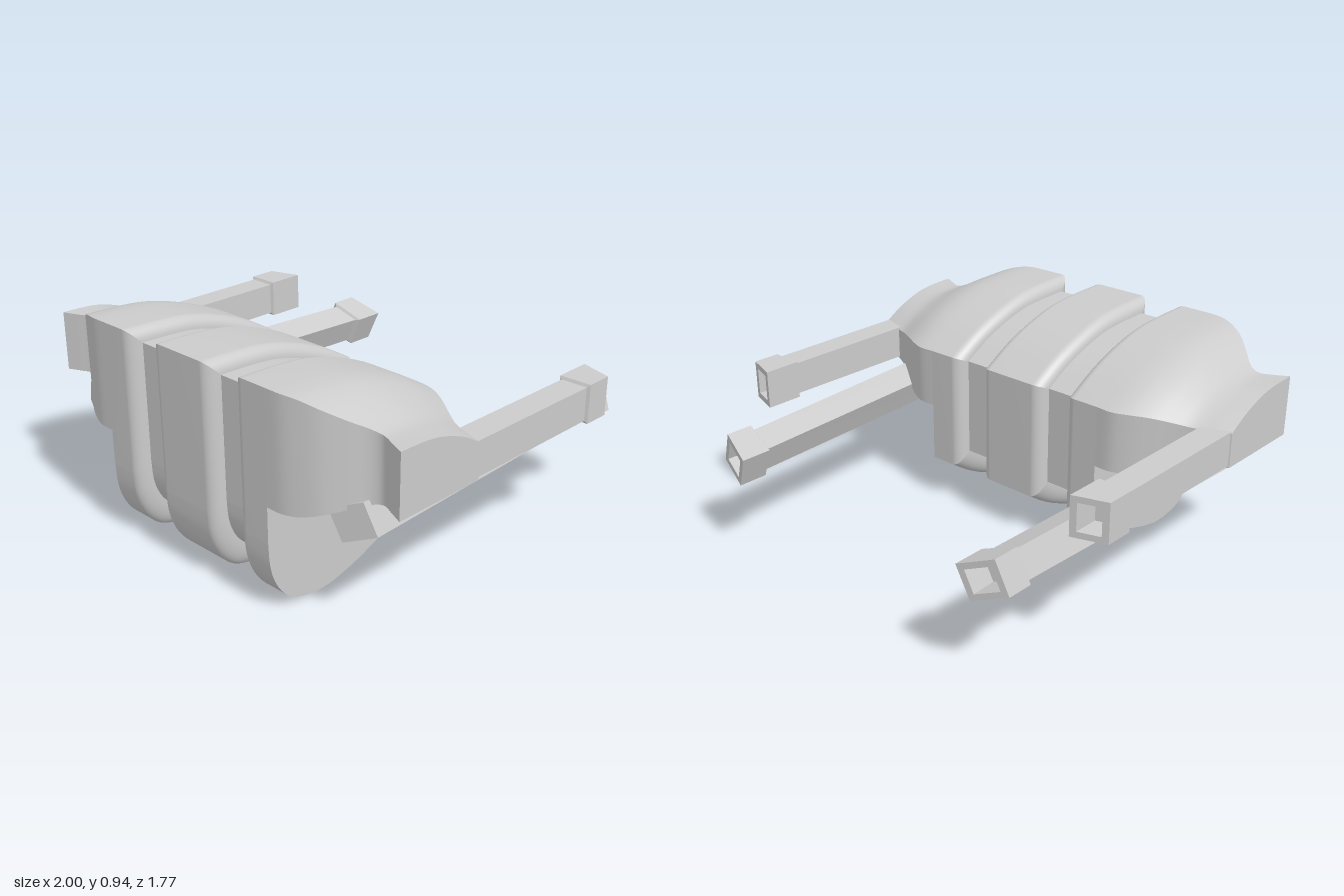
import * as THREE from 'three';

const material = new THREE.MeshStandardMaterial({ color: 0xcccccc });
const V = (x, y, z) => new THREE.Vector3(x, y, z);

// Surface through rows of points; flat gives faceted shading
function strip(rows, flat = false) {
  const n = rows[0].length, index = [];
  for (let i = 0; i < rows.length - 1; i++) {
    for (let j = 0; j < n - 1; j++) {
      const a = i * n + j, b = a + n;
      index.push(a, b, a + 1, b, b + 1, a + 1);
    }
  }
  let geo = new THREE.BufferGeometry().setFromPoints(rows.flat());
  geo.setIndex(index);
  if (flat) geo = geo.toNonIndexed();
  geo.computeVertexNormals();
  return geo;
}

// Copy reflected to the other side, with the winding reversed
function mirror(geo) {
  const m = geo.index ? geo.toNonIndexed() : geo.clone();
  for (const name of ['position', 'normal']) {
    const a = m.attributes[name];
    for (let i = 0; i < a.count; i += 3) {
      const p = [0, 2, 1].map(k => [-a.getX(i + k), a.getY(i + k), a.getZ(i + k)]);
      p.forEach((q, k) => a.setXYZ(i + k, ...q));
    }
  }
  return m;
}

function addMesh(group, name, geo) {
  const mesh = new THREE.Mesh(geo, material);
  mesh.name = name;
  group.add(mesh);
}

function addPair(group, name, geo) {
  addMesh(group, name + 'Left', geo);
  addMesh(group, name + 'Right', mirror(geo));
}

const spline = (pts, n) => new THREE.SplineCurve(pts.map(p => new THREE.Vector2(...p))).getPoints(n);
const centreRow = (ring, c) => ring.map(() => c.clone());

// Side profile of the body as (z, y), split at its sharp corners
const topCurve = spline([[0.885, 0.945], [0.7, 0.94], [0.55, 0.925], [0.4, 0.885], [0.25, 0.825], [0.1, 0.74]], 20);
const backLine = [new THREE.Vector2(0.1, 0.74), new THREE.Vector2(0.1, 0.2)];
const bellyCurve = [
  ...spline([[0.1, 0.2], [0.2, 0.135], [0.3, 0.085], [0.45, 0.03], [0.6, 0], [0.74, 0.02],
    [0.81, 0.07], [0.855, 0.14], [0.878, 0.22], [0.885, 0.32]], 36),
  new THREE.Vector2(0.885, 0.47), new THREE.Vector2(0.885, 0.945)];
const bodyParts = { Top: topCurve, Back: backLine, Belly: bellyCurve };

// Profile at x, drawn inward by e (0 = full rib, 1 = groove)
const bodyRow = (curve, x, e) => curve.map(p => V(
  x,
  p.y + e * THREE.MathUtils.lerp(0.1, -0.06, p.y / 0.945),
  0.4925 + (p.x - 0.4925) * (1 - e * 0.16)));

function addBody(group) {
  const r = 0.05, round = [];
  for (let k = 0; k <= 8; k++) {
    const a = k / 8 * Math.PI / 2;
    round.push([r * Math.sin(a), 1 - Math.cos(a)]);
  }
  const half = round.map(([d, e]) => [0.12 + d, e]);
  const middle = [...half.map(([x, e]) => [-x, e]).reverse(), ...half];
  const outer = [...round.map(([d, e]) => [0.355 - d, e]).reverse(), [0.475, 0]];
  const groove = [[0.17, 1], [0.305, 1]];
  for (const [part, curve] of Object.entries(bodyParts)) {
    const build = s => strip(s.map(([x, e]) => bodyRow(curve, x, e)));
    addMesh(group, 'middleRib' + part, build(middle));
    addPair(group, 'groove' + part, build(groove));
    addPair(group, 'outerRib' + part, build(outer));
  }
  // Flat end of the lower body
  const ring = bodyRow([...topCurve, ...backLine, ...bellyCurve], 0.475, 0);
  addPair(group, 'bodyEnd', strip([ring, centreRow(ring, V(0.475, 0.45, 0.5))]));
}

// Tapering shoulder: x, top, bottom, front z, back z, drop of the top towards the back
function addShoulders(group) {
  const stations = [
    [0.475, 0.945, 0.47, 0.885, 0.1, 0.205], [0.55, 0.943, 0.47, 0.882, 0.1, 0.205],
    [0.62, 0.933, 0.475, 0.86, 0.125, 0.195], [0.69, 0.908, 0.495, 0.825, 0.165, 0.175],
    [0.76, 0.87, 0.52, 0.765, 0.21, 0.15], [0.82, 0.838, 0.542, 0.708, 0.245, 0.13],
    [0.87, 0.822, 0.553, 0.69, 0.265, 0.117], [0.93, 0.82, 0.555, 0.715, 0.285, 0.113],
    [0.99, 0.822, 0.555, 0.742, 0.31, 0.113]];
  const columns = [1, 2, 3, 4, 5].map(k => spline(stations.map(s => [s[0], s[k]]), 32));
  const sections = columns[0].map((p, i) => {
    const [top, bottom, zf, zb, drop] = columns.map(c => c[i].y);
    const roof = topCurve.map(q => V(p.x,
      top - drop * (0.945 - q.y) / 0.205,
      zb + (zf - zb) * (q.x - 0.1) / 0.785));
    const lowBack = V(p.x, bottom, zb), lowFront = V(p.x, bottom, zf);
    return {
      Top: roof, Back: [roof[roof.length - 1], lowBack],
      Underside: [lowBack, lowFront], Front: [lowFront, roof[0]]
    };
  });
  for (const part of ['Top', 'Back', 'Underside', 'Front']) {
    addPair(group, 'shoulder' + part, strip(sections.map(s => s[part])));
  }
  const ring = Object.values(sections[sections.length - 1]).flat();
  addPair(group, 'shoulderEnd', strip([ring, centreRow(ring, V(0.99, 0.65, 0.55))]));
}

// Rectangular ring, rolled by tilt, its plane slanted along x
function ringAt([x, y, z], w, h, tilt, slant) {
  return [[w, h], [-w, h], [-w, -h], [w, -h], [w, h]].map(([u, v]) => {
    const dx = u * Math.cos(tilt) - v * Math.sin(tilt);
    const dy = u * Math.sin(tilt) + v * Math.cos(tilt);
    return V(x + dx, y + dy, z + slant * dx);
  });
}

// Bar with a larger, hollow-ended socket at the back
function addArm(group, name, { start, end, startSize, endSize, tilt, startSlant, capStart, capStartSlant, capSize, capSlant }) {
  const [ex, ey, ez] = end, [cw, ch] = capSize, rim = 0.026;
  const first = ringAt(start, ...startSize, tilt, startSlant);
  const neck = ringAt([ex, ey, capStart], ...endSize, tilt, capStartSlant);
  addPair(group, name + 'Bar', strip([centreRow(first, V(...start)), first, neck], true));
  const floor = ringAt([ex, ey, ez + 0.1], cw - rim - 0.006, ch - rim - 0.006, tilt, capSlant);
  addPair(group, name + 'Socket', strip([
    neck,
    ringAt([ex, ey, capStart - 0.008], cw, ch, tilt, capStartSlant),
    ringAt(end, cw, ch, tilt, capSlant),
    ringAt(end, cw - rim, ch - rim, tilt, capSlant),
    floor,
    centreRow(floor, V(ex, ey, ez + 0.1))], true));
}

export function createModel() {
  const model = new THREE.Group();
  model.name = 'ribbedBodyWithArms';
  addBody(model);
  addShoulders(model);
  addArm(model, 'upperArm', {
    start: [0.924, 0.638, 0.5], end: [0.928, 0.64, -0.525],
    startSize: [0.06, 0.075], endSize: [0.06, 0.073], tilt: 0, startSlant: 0,
    capStart: -0.37, capStartSlant: 0, capSize: [0.072, 0.085], capSlant: 0.33
  });
  addArm(model, 'lowerArm', {
    start: [0.782, 0.475, 0.755], end: [0.718, 0.455, -0.86],
    startSize: [0.068, 0.07], endSize: [0.063, 0.064], tilt: 0.38, startSlant: -0.4,
    capStart: -0.725, capStartSlant: 0.15, capSize: [0.082, 0.076], capSlant: 0.27
  });
  return model;
}
